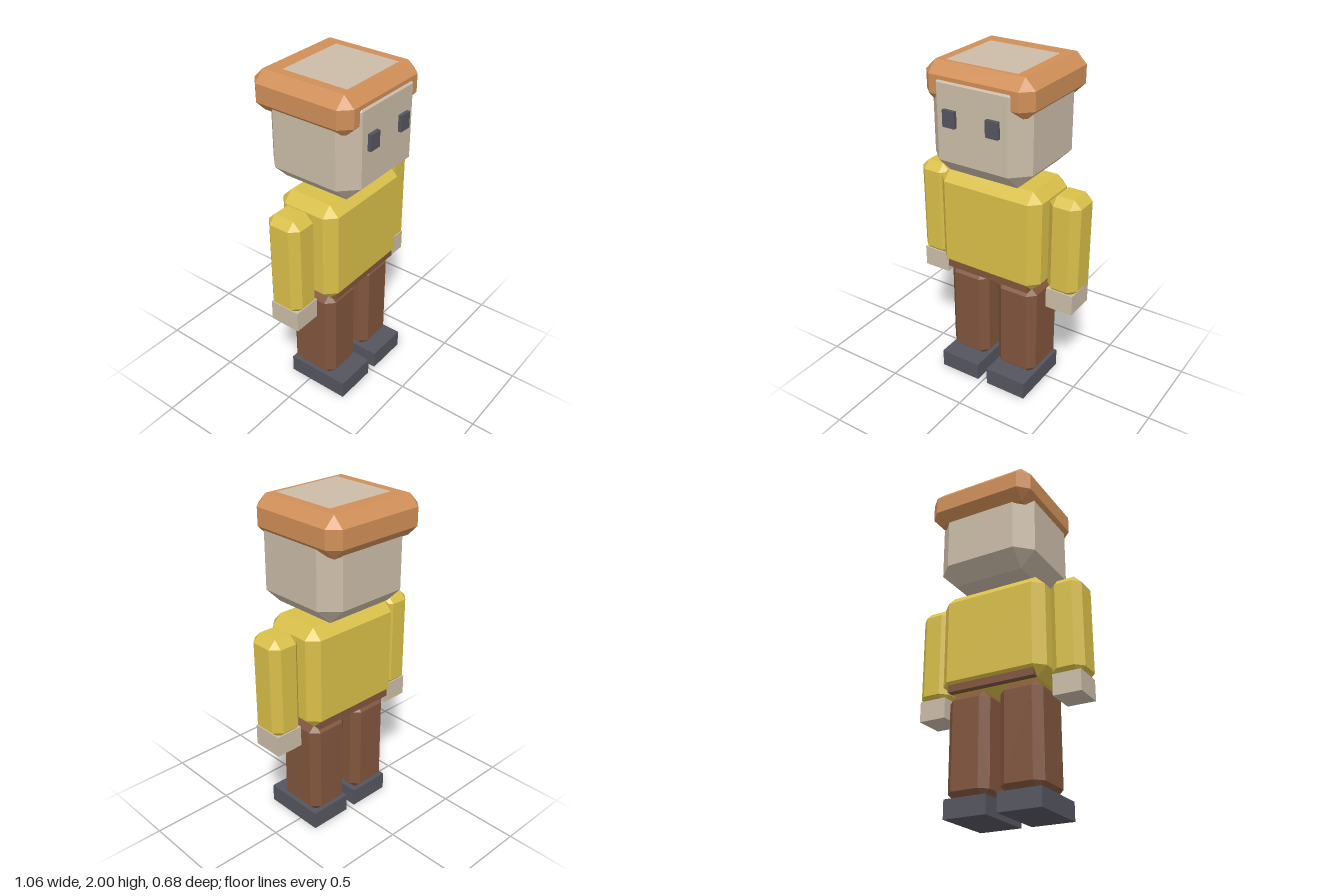
import * as THREE from 'three';
import { ConvexGeometry } from 'three/addons/geometries/ConvexGeometry.js';

const paint = (color) => new THREE.MeshStandardMaterial({ color, flatShading: true });

// Box with every edge and corner cut off by c; ranges are [min, max]
function chamferBox(x, y, z, c) {
  const points = [];
  const inset = ([lo, hi], side) => (side ? hi - c : lo + c);
  for (let i = 0; i < 8; i++) {
    const sx = i & 1, sy = (i >> 1) & 1, sz = (i >> 2) & 1;
    const ix = inset(x, sx), iy = inset(y, sy), iz = inset(z, sz);
    points.push(
      new THREE.Vector3(x[sx], iy, iz),
      new THREE.Vector3(ix, y[sy], iz),
      new THREE.Vector3(ix, iy, z[sz]));
  }
  return new ConvexGeometry(points);
}

function plainBox(x, y, z) {
  return new THREE.BoxGeometry(x[1] - x[0], y[1] - y[0], z[1] - z[0])
    .translate((x[0] + x[1]) / 2, (y[0] + y[1]) / 2, (z[0] + z[1]) / 2);
}

export function createModel() {
  const model = new THREE.Group();
  model.name = 'blockFigure';
  const skin = paint(0xcbbca8), hair = paint(0xd08f58), yellow = paint(0xd9bf49);
  const brown = paint(0x80553d), dark = paint(0x555560);

  // Adds one part; chamfer 0 gives a sharp box
  const add = (name, material, x, y, z, c = 0) => {
    const mesh = new THREE.Mesh(c ? chamferBox(x, y, z, c) : plainBox(x, y, z), material);
    mesh.name = name;
    model.add(mesh);
  };

  // Head pushes through the cap-like hair at the front and crown
  add('head', skin, [-0.315, 0.315], [1.375, 2], [-0.285, 0.315], 0.095);
  add('hair', hair, [-0.337, 0.337], [1.77, 1.999], [-0.34, 0.305], 0.062);

  // Torso with the waistband showing through its lower bevel
  add('torso', yellow, [-0.335, 0.335], [0.715, 1.34], [-0.175, 0.21], 0.06);
  add('waistband', brown, [-0.275, 0.275], [0.716, 0.78], [-0.16, 0.195]);

  // Paired parts, mirrored across x
  for (const [side, s] of [['left', 1], ['right', -1]]) {
    const pair = (name, material, x, y, z, c) =>
      add(side + name, material, s > 0 ? x : [-x[1], -x[0]], y, z, c);
    pair('Eye', dark, [0.096, 0.173], [1.675, 1.77], [0.305, 0.336]);
    pair('Arm', yellow, [0.336, 0.532], [0.708, 1.316], [-0.095, 0.122], 0.046);
    pair('Hand', skin, [0.347, 0.517], [0.605, 0.73], [-0.08, 0.109]);
    pair('Leg', brown, [0.033, 0.298], [0.098, 0.715], [-0.14, 0.171], 0.047);
    pair('Shoe', dark, [0.033, 0.298], [0, 0.11], [-0.135, 0.26]);
  }
  return model;
}
